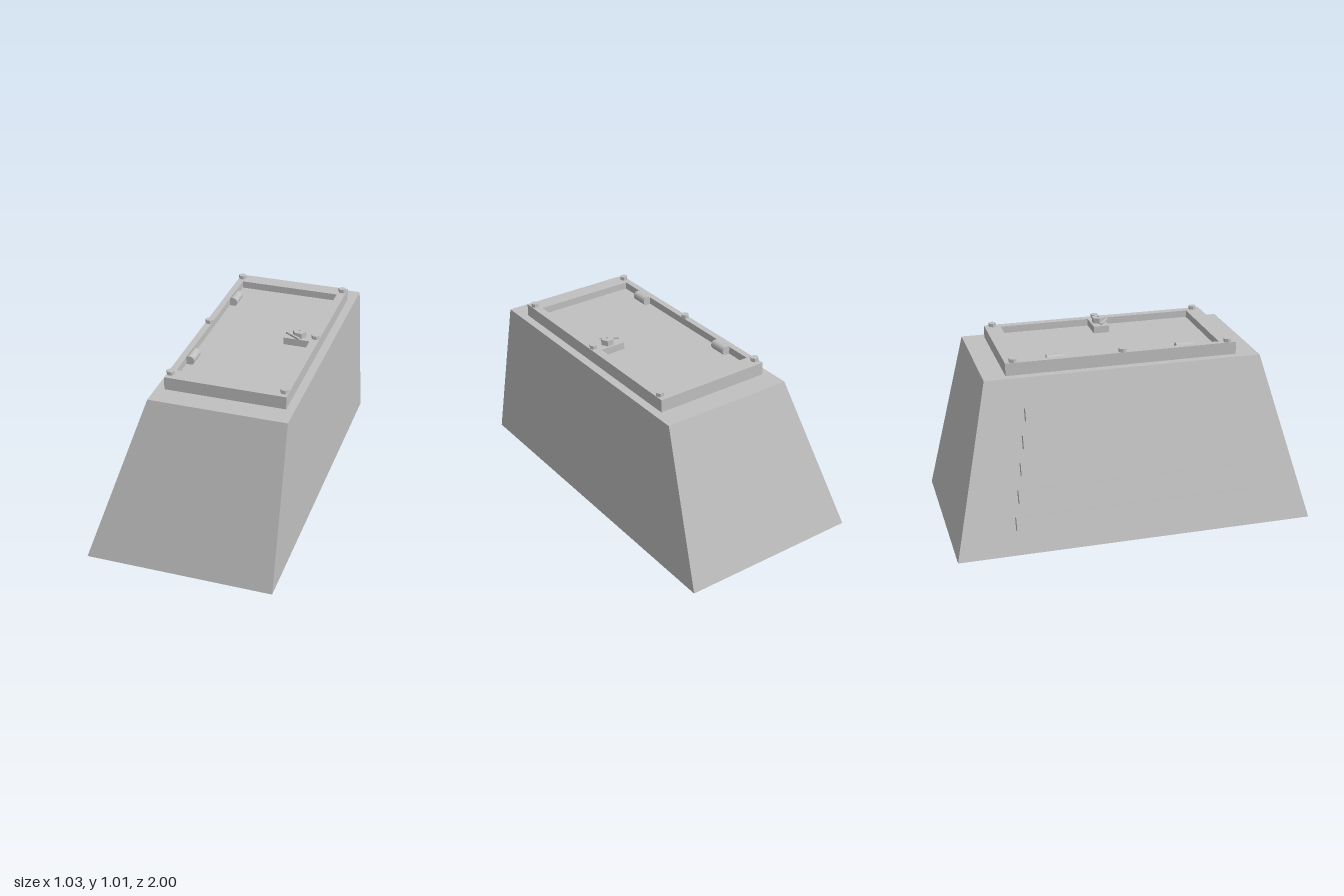
import * as THREE from 'three';

export function createModel() {
  const group = new THREE.Group();
  const grey = new THREE.MeshStandardMaterial({ color: 0xc0c0c0 });
  grey.name = 'plain grey';

  const add = (name, geometry, x = 0, y = 0, z = 0) => {
    const mesh = new THREE.Mesh(geometry, grey);
    mesh.name = name;
    mesh.position.set(x, y, z);
    group.add(mesh);
    return mesh;
  };
  const hexagon = (radius, height) =>
    new THREE.CylinderGeometry(radius, radius, height, 6).rotateY(Math.PI / 6).toNonIndexed();

  // Tapered body: ends slope in, the right side leans, the left side is upright
  const H = 0.9;
  const body = new THREE.BoxGeometry(1.03, H, 2).translate(0, H / 2, 0);
  const p = body.attributes.position;
  for (let i = 0; i < p.count; i++) {
    if (p.getY(i) < H / 2) continue;
    if (p.getX(i) < 0) p.setX(i, -0.225);
    p.setZ(i, Math.sign(p.getZ(i)) * 0.775);
  }
  body.computeVertexNormals();
  add('body', body);

  // Raised hatch frame, with a latch tab reaching into its opening
  const outline = (points) => points.map(([x, z]) => new THREE.Vector2(x, -z));
  const rim = new THREE.Shape(outline([[-0.18, 0.65], [0.47, 0.65], [0.47, -0.65], [-0.18, -0.65]]));
  rim.holes.push(new THREE.Path(outline([
    [-0.145, 0.56], [0.425, 0.56], [0.425, 0.045], [0.28, 0.045],
    [0.28, -0.045], [0.425, -0.045], [0.425, -0.56], [-0.145, -0.56],
  ])));
  const frame = new THREE.ExtrudeGeometry(rim, { depth: 0.07, bevelEnabled: false });
  add('hatchFrame', frame.rotateX(-Math.PI / 2), 0, H, 0);

  // Sunken hatch door
  add('hatchDoor', new THREE.BoxGeometry(0.58, 0.03, 1.13), 0.14, H + 0.015, 0);

  // Hinges
  for (const z of [-0.365, 0.365]) {
    const hinge = new THREE.CylinderGeometry(0.026, 0.026, 0.1, 16).rotateX(Math.PI / 2);
    add('hinge', hinge, -0.126, 0.952, z);
  }

  // Frame bolts
  for (const x of [-0.16, 0.447]) {
    for (const z of [-0.605, 0, 0.605]) {
      const bolt = hexagon(0.022, 0.02);
      bolt.computeVertexNormals();
      add('bolt', bolt, x, 0.98, z);
    }
  }

  // Latch: hexagonal knob, small pin and slanting lever
  const knob = hexagon(0.037, 0.032);
  knob.computeVertexNormals();
  add('latchKnob', knob, 0.358, 0.985, 0);
  add('latchPin', new THREE.CylinderGeometry(0.005, 0.005, 0.01, 8), 0.358, 1.003, 0);
  const lever = add('latchLever', new THREE.BoxGeometry(0.105, 0.01, 0.012), 0.328, 0.98, 0.027);
  lever.rotation.y = -0.58;

  // Five horizontal louvres on the leaning side, shorter towards the top
  const lean = Math.atan2(0.29, H);
  for (let i = 0; i < 5; i++) {
    const y = 0.164 + i * 0.137;
    const onFace = -0.515 + 0.29 * y / H;
    const louvre = new THREE.BoxGeometry(0.044, 0.07, 1.35 - i * 0.05).translate(-0.012, 0, 0);
    add('louvre', louvre, onFace, y, 0).rotation.z = -lean;
  }

  return group;
}
